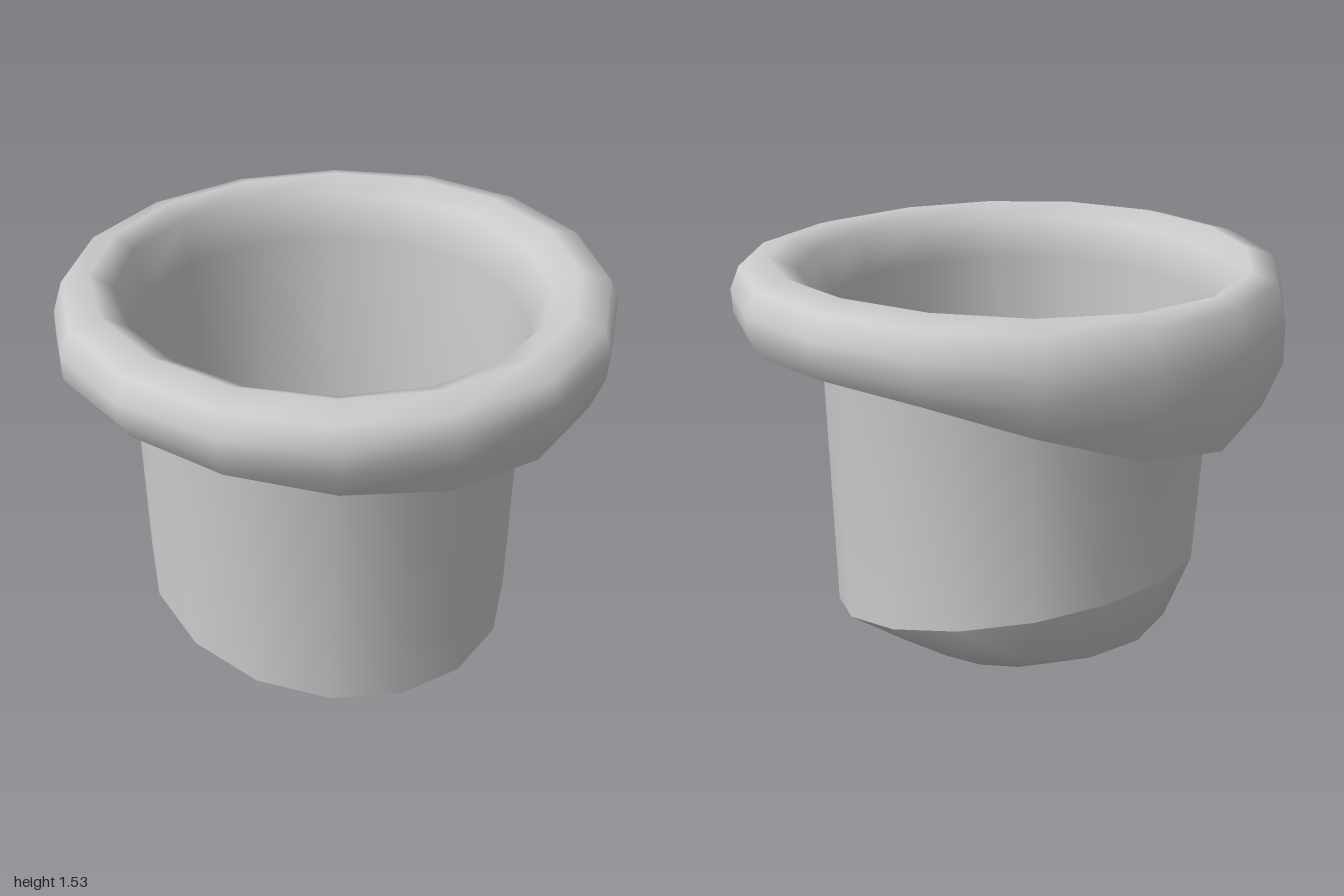
import * as THREE from 'three';

const SIDES = 16;
const mix = THREE.MathUtils.lerp;

// Value around the cup: front (+z), sides and back (-z) blended by angle
const blend = (s, [front, side, back]) => s > 0 ? mix(side, front, s * s) : mix(side, back, s * s);

// Joins rings {r, y, dx, dz} into a smooth skin; r and y are [front, side, back] or y is a function
function skin(name, rings, tip) {
  const pos = [], index = [];
  for (const { r, y, dx = 0, dz = 0 } of rings) {
    for (let i = 0; i < SIDES; i++) {
      const a = (i / SIDES) * Math.PI * 2, s = Math.sin(a);
      const radius = blend(s, r);
      const height = typeof y === 'function' ? y(s) : blend(s, y);
      pos.push(Math.cos(a) * radius + dx, height, s * radius + dz);
    }
  }
  for (let j = 0; j < rings.length - 1; j++) {
    for (let i = 0; i < SIDES; i++) {
      const k = (i + 1) % SIDES;
      const a = j * SIDES + i, b = j * SIDES + k, c = a + SIDES, d = b + SIDES;
      index.push(a, c, b, b, c, d);
    }
  }
  if (tip) {
    const last = (rings.length - 1) * SIDES, centre = pos.length / 3;
    pos.push(...tip);
    for (let i = 0; i < SIDES; i++) index.push(last + i, centre, last + (i + 1) % SIDES);
  }
  const geometry = new THREE.BufferGeometry();
  geometry.setAttribute('position', new THREE.Float32BufferAttribute(pos, 3));
  geometry.setIndex(index);
  geometry.computeVertexNormals();
  const material = new THREE.MeshStandardMaterial({ color: 0xcccccc, side: THREE.DoubleSide });
  const mesh = new THREE.Mesh(geometry, material);
  mesh.name = name;
  return mesh;
}

export function createModel() {
  const group = new THREE.Group();
  group.name = 'cup';

  // Slanted seam between wall and base
  const seam = { r: [0.67, 0.69, 0.675], y: s => 0.275 - 0.14 * s, dx: -0.03, dz: -0.01 };
  // Lower lip edge drops sharply at the back
  const lipEdge = s => s > 0 ? 1.275 - 0.105 * s * s : 1.275 - 0.295 * Math.pow(-s, 2.4);

  // Rolled lip, open underneath, running over the crest and down the thin wall
  group.add(skin('lipAndWall', [
    { r: [0.93, 0.95, 0.93], y: lipEdge },
    { r: [0.98, 1, 1], y: [1.3, 1.35, 1.17] },
    { r: [0.99, 1, 1], y: [1.4, 1.42, 1.33] },
    { r: [0.965, 0.96, 0.97], y: [1.485, 1.5, 1.48] },
    { r: [0.86, 0.85, 0.88], y: [1.515, 1.53, 1.51] },
    { r: [0.755, 0.76, 0.81], y: [1.47, 1.48, 1.46] },
    { r: [0.71, 0.69, 0.76], y: [1.32, 1.33, 1.3], dx: -0.02 },
    seam,
  ]));

  // Shallow uneven base tapering to a blunt point
  group.add(skin('base', [
    seam,
    { r: [0.6, 0.61, 0.6], y: [0.115, 0.21, 0.16], dx: -0.01 },
    { r: [0.33, 0.36, 0.38], y: [0.05, 0.045, 0.05] },
  ], [0, 0, 0]));

  return group;
}
